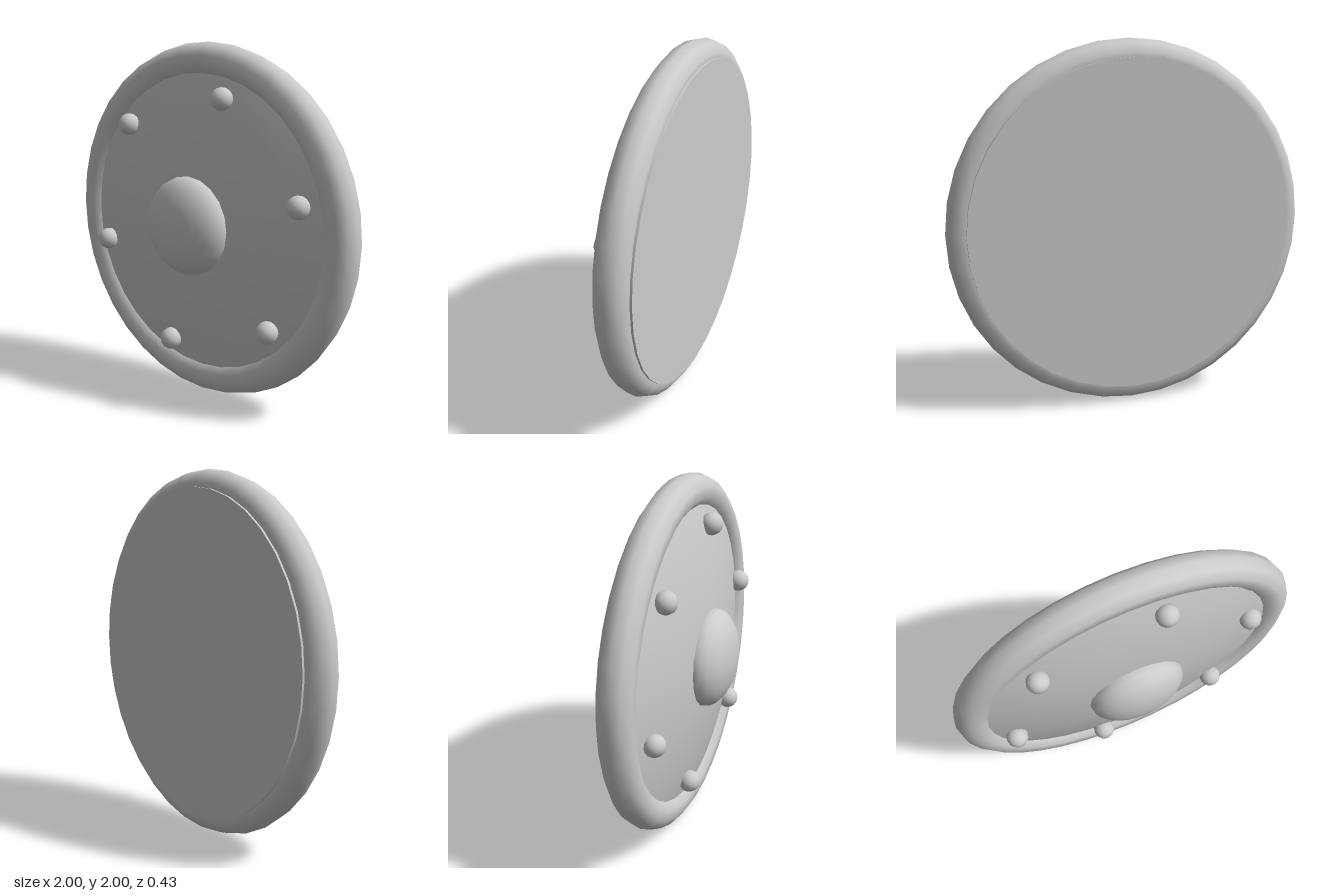
import * as THREE from 'three';

const SEGMENTS = 36;

export function createModel() {
  const model = new THREE.Group();
  model.name = 'roundShield';
  const material = new THREE.MeshStandardMaterial({ color: 0xcccccc });

  // Every part is placed relative to the shield's centre, at y = 1
  const add = (name, geometry, x, y, z) => {
    const mesh = new THREE.Mesh(geometry, material);
    mesh.name = name;
    mesh.position.set(x, 1 + y, z);
    model.add(mesh);
    return mesh;
  };

  // Rounded outer rim
  add('rim', new THREE.TorusGeometry(0.903, 0.097, 10, SEGMENTS), 0, 0, -0.11);

  // Flat backing disc
  const back = new THREE.CylinderGeometry(0.905, 0.905, 0.145, SEGMENTS);
  back.rotateX(Math.PI / 2);
  add('backPlate', back, 0, 0, -0.1425);

  // Shallow domed face
  const profile = [];
  for (let i = 0; i <= 8; i++) {
    const r = 0.905 * (1 - i / 8);
    profile.push(new THREE.Vector2(r, 0.079 - 0.18 * r * r));
  }
  const face = new THREE.LatheGeometry(profile, SEGMENTS);
  face.rotateX(Math.PI / 2);
  add('face', face, 0, 0, 0);

  // Flattened central boss
  const bossGeometry = new THREE.SphereGeometry(0.277, 20, 14);
  bossGeometry.rotateX(Math.PI / 2);
  add('boss', bossGeometry, 0, 0, 0.068).scale.z = 0.53;

  // Ring of six round studs
  const studGeometry = new THREE.SphereGeometry(0.063, 12, 8);
  for (let i = 0; i < 6; i++) {
    const a = Math.PI / 12 + (i * Math.PI) / 3;
    add('stud' + (i + 1), studGeometry, 0.732 * Math.cos(a), 0.732 * Math.sin(a), 0.01);
  }
  return model;
}
